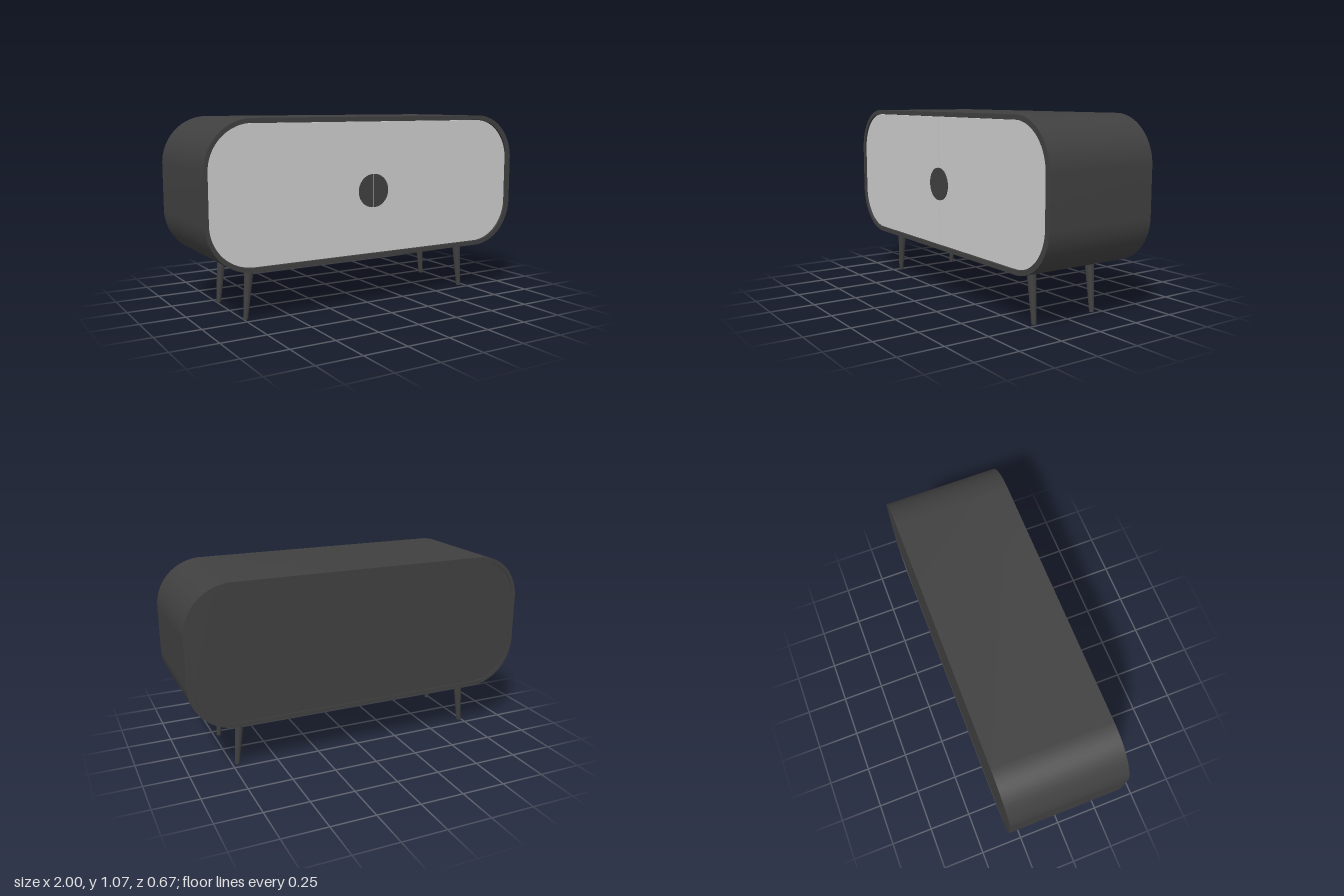
import * as THREE from 'three';
import { toCreasedNormals } from 'three/addons/utils/BufferGeometryUtils.js';

const dark = new THREE.MeshStandardMaterial({ color: 0x404040 });
const grey = new THREE.MeshStandardMaterial({ color: 0xcccccc });

const DEPTH = 0.666, MID_X = -0.009, MID_Y = 0.675;

// Trace a rectangle whose left and right corner radii may differ
function outline(path, x0, x1, y0, y1, rl, rr) {
  const q = Math.PI / 2;
  path.moveTo(x0 + rl, y0);
  path.lineTo(x1 - rr, y0);
  if (rr) path.absarc(x1 - rr, y0 + rr, rr, -q, 0, false);
  else path.lineTo(x1, y0);
  path.lineTo(x1, y1 - rr);
  if (rr) path.absarc(x1 - rr, y1 - rr, rr, 0, q, false);
  path.lineTo(x0 + rl, y1);
  if (rl) path.absarc(x0 + rl, y1 - rl, rl, q, 2 * q, false);
  path.lineTo(x0, y0 + rl);
  if (rl) path.absarc(x0 + rl, y0 + rl, rl, 2 * q, 3 * q, false);
  path.closePath();
  return path;
}

// Extrude a shape from z = back to z = front
function slab(name, shape, back, front, material) {
  let geometry = new THREE.ExtrudeGeometry(shape, {
    depth: front - back, bevelEnabled: false, curveSegments: 20,
  });
  geometry = toCreasedNormals(geometry, 0.5);
  const mesh = new THREE.Mesh(geometry, material);
  mesh.name = name;
  mesh.position.z = back;
  return mesh;
}

export function createModel() {
  const model = new THREE.Group();
  model.name = 'sideboard';
  const half = DEPTH / 2;

  // Rounded, open-ended cabinet shell
  const shell = outline(new THREE.Shape(), -1, 1, 0.28, 1.07, 0.265, 0.265);
  shell.holes.push(outline(new THREE.Path(), -0.978, 0.968, 0.305, 1.045, 0.24, 0.24));
  model.add(slab('cabinetShell', shell, -half, half, dark));

  // Back panel, almost flush with the rim
  const back = outline(new THREE.Shape(), -0.977, 0.967, 0.306, 1.044, 0.24, 0.24);
  model.add(slab('backPanel', back, -half + 0.003, -half + 0.02, dark));

  // Pair of doors with half-disc pulls either side of the seam
  const front = half - 0.01, gap = 0.003;
  for (const side of [-1, 1]) {
    const label = side > 0 ? 'left' : 'right';
    const edge = MID_X + side * gap;
    const door = side < 0
      ? outline(new THREE.Shape(), -0.975, edge, 0.307, 1.043, 0.238, 0)
      : outline(new THREE.Shape(), edge, 0.965, 0.307, 1.043, 0, 0.238);
    model.add(slab(label + 'Door', door, front - 0.02, front, grey));

    const pull = new THREE.Shape();
    const start = side > 0 ? -Math.PI / 2 : Math.PI / 2;
    pull.absarc(edge, 0.66, 0.093, start, start + Math.PI, false);
    pull.closePath();
    model.add(slab(label + 'Handle', pull, front - 0.002, front + 0.005, dark));
  }

  // Dark strip closing the seam behind the doors
  const seam = new THREE.Mesh(new THREE.BoxGeometry(0.03, 0.736, 0.01), dark);
  seam.name = 'doorSeam';
  seam.position.set(MID_X, MID_Y, front - 0.025);
  model.add(seam);

  // Tapered legs, sheared outwards so the feet stay level
  const height = 0.279;
  for (const sx of [-1, 1]) {
    for (const sz of [-1, 1]) {
      const geometry = new THREE.CylinderGeometry(0.026, 0.013, height, 24);
      geometry.applyMatrix4(new THREE.Matrix4().makeShear(0, 0, -sx * 0.09, 0, 0, 0));
      const leg = new THREE.Mesh(geometry, dark);
      leg.name = (sz > 0 ? 'front' : 'back') + (sx > 0 ? 'Left' : 'Right') + 'Leg';
      leg.position.set(MID_X + sx * 0.716, height / 2, sz * 0.198);
      model.add(leg);
    }
  }
  return model;
}
